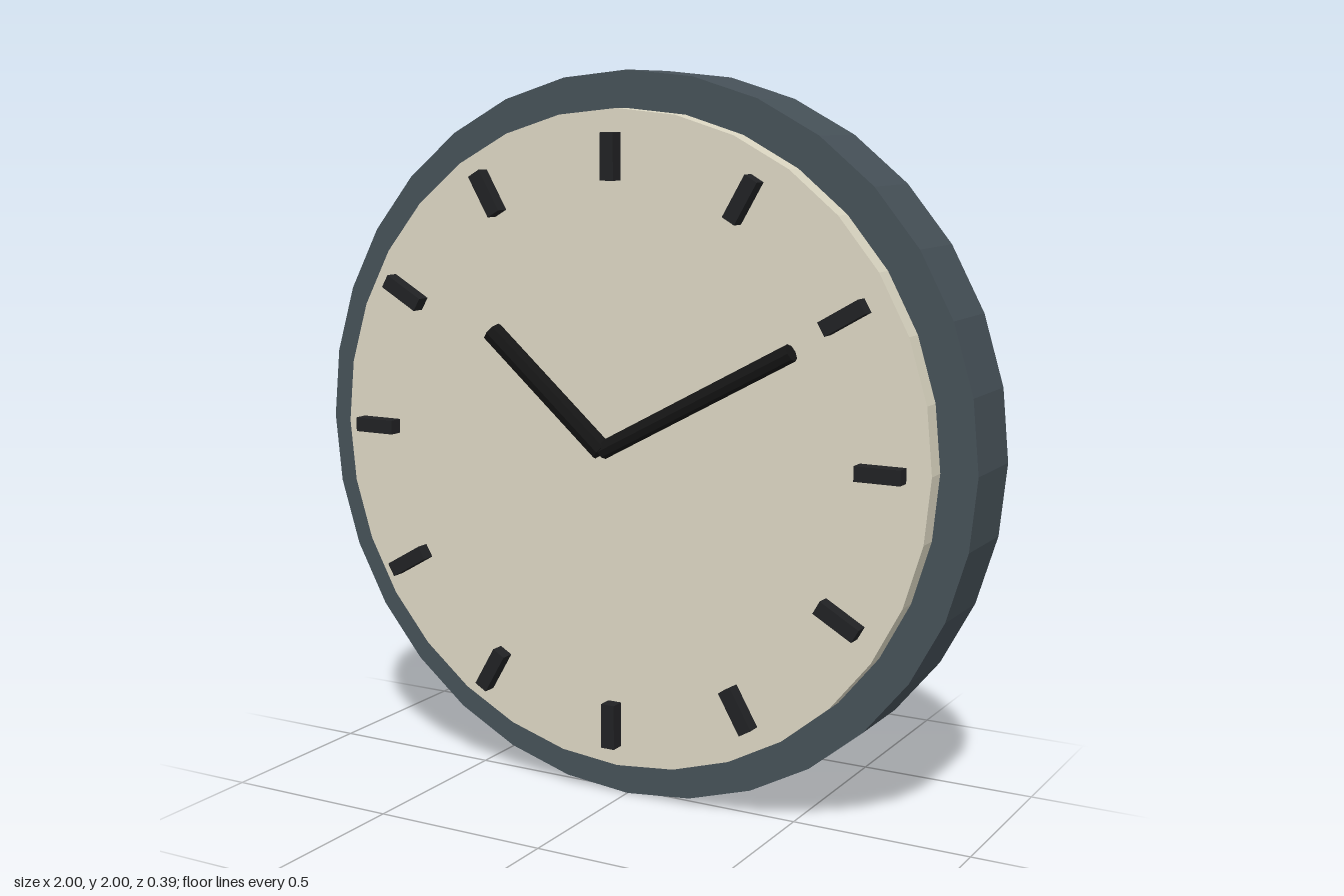
import * as THREE from 'three';

const paint = (name, color, flatShading = false) => {
  const m = new THREE.MeshStandardMaterial({ color, flatShading });
  m.name = name;
  return m;
};

export function createModel() {
  const clock = new THREE.Group();
  clock.name = 'wallClock';
  const slate = paint('slate', 0x465158, true);
  const cream = paint('cream', 0xdcd7c3, true);
  const charcoal = paint('charcoal', 0x212224, true);
  const black = paint('black', 0x151515, true);

  const add = (name, geometry, material) => {
    const mesh = new THREE.Mesh(geometry, material);
    mesh.name = name;
    clock.add(mesh);
    return mesh;
  };

  // Faceted disc lying between two depths
  const disc = (name, radius, back, front, material) => {
    const g = new THREE.CylinderGeometry(radius, radius, front - back, 32);
    g.rotateX(Math.PI / 2);
    add(name, g, material).position.set(0, 1, (back + front) / 2);
  };
  disc('body', 1, -0.195, 0.03, slate);
  disc('dial', 0.9, 0.03, 0.088, cream);

  // Twelve hour markers, floating just ahead of the dial
  const markerShape = new THREE.BoxGeometry(0.04, 0.125, 0.04);
  for (let i = 0; i < 12; i++) {
    const a = (i * Math.PI) / 6;
    const marker = add(`hourMarker${i + 1}`, markerShape, charcoal);
    marker.position.set(Math.sin(a) * 0.775, 1 + Math.cos(a) * 0.775, 0.12);
    marker.rotation.z = -a;
  }

  // Rod hands running from the centre to their tips
  const hand = (name, x, y, radius) => {
    const g = new THREE.CylinderGeometry(radius, radius, Math.hypot(x, y), 8);
    const mesh = add(name, g, black);
    mesh.position.set(x / 2, 1 + y / 2, 0.166);
    mesh.rotation.z = -Math.atan2(x, y);
  };
  hand('hourHand', -0.345, 0.3, 0.03);
  hand('minuteHand', 0.55, 0.297, 0.024);

  return clock;
}
